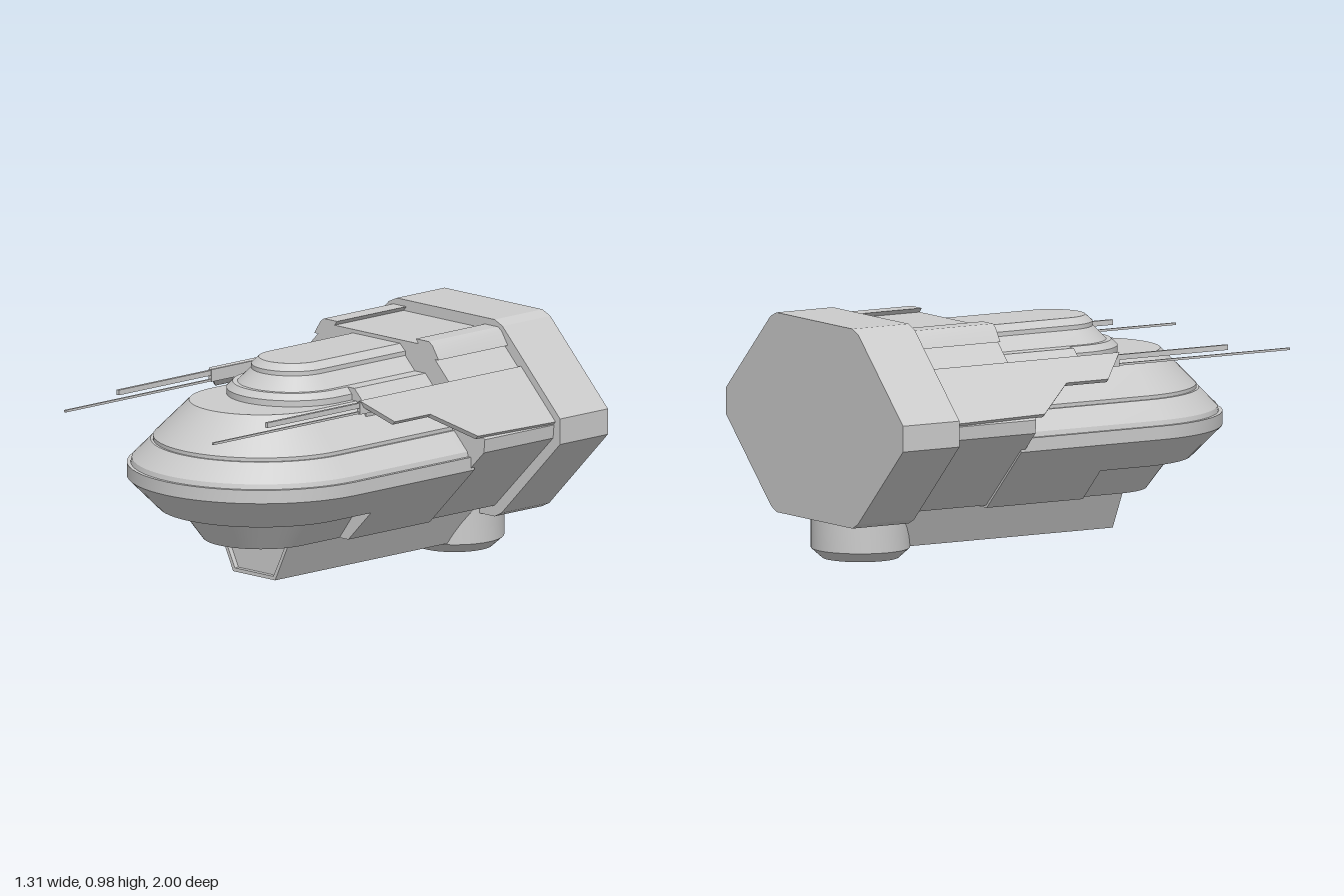
import * as THREE from 'three';
import { toCreasedNormals } from 'three/addons/utils/BufferGeometryUtils.js';

const material = new THREE.MeshStandardMaterial({ color: 0xcccccc });

function part(group, name, geometry, crease = 0.45) {
  const mesh = new THREE.Mesh(toCreasedNormals(geometry, crease), material);
  mesh.name = name;
  group.add(mesh);
  return mesh;
}

// Stack of U-shaped rings [radius, y]: round nose around zc, straight sides back to zBack.
function uLoft(levels, zc, zBack, segments = 32) {
  const positions = [], index = [], n = segments + 3;
  for (const [r, y] of levels) {
    positions.push(r, y, zBack);
    for (let i = 0; i <= segments; i++) {
      const t = (i / segments) * Math.PI;
      positions.push(r * Math.cos(t), y, zc + r * Math.sin(t));
    }
    positions.push(-r, y, zBack);
  }
  for (let k = 0; k < levels.length - 1; k++) {
    for (let i = 0; i < n; i++) {
      const j = (i + 1) % n, a = k * n + i, b = k * n + j;
      index.push(a, a + n, b, b, a + n, b + n);
    }
  }
  const top = (levels.length - 1) * n;
  for (let i = 1; i < n - 1; i++) {
    index.push(0, i, i + 1, top, top + i + 1, top + i);
  }
  const geometry = new THREE.BufferGeometry();
  geometry.setAttribute('position', new THREE.Float32BufferAttribute(positions, 3));
  geometry.setIndex(index);
  return geometry;
}

const toShape = (points) => new THREE.Shape(points.map(([x, y]) => new THREE.Vector2(x, y)));

// Right half of an outline, listed bottom to top, completed by its mirror image.
const symmetric = (half) => [...half, ...half.map(([x, y]) => [-x, y]).reverse()];

function prism(shape, z0, z1) {
  const geometry = new THREE.ExtrudeGeometry(shape, { depth: z1 - z0, bevelEnabled: false });
  return geometry.translate(0, 0, z0);
}

// Mirrors a geometry in x and restores the corner order.
function mirrored(source) {
  const geometry = source.index ? source.toNonIndexed() : source.clone();
  const p = geometry.attributes.position;
  const a = new THREE.Vector3(), b = new THREE.Vector3();
  geometry.scale(-1, 1, 1);
  for (let i = 0; i < p.count; i += 3) {
    a.fromBufferAttribute(p, i + 1);
    b.fromBufferAttribute(p, i + 2);
    p.setXYZ(i + 1, b.x, b.y, b.z);
    p.setXYZ(i + 2, a.x, a.y, a.z);
  }
  return geometry;
}

function box(x0, x1, y0, y1, z0, z1) {
  return new THREE.BoxGeometry(x1 - x0, y1 - y0, z1 - z0)
    .translate((x0 + x1) / 2, (y0 + y1) / 2, (z0 + z1) / 2);
}

export function createModel() {
  const model = new THREE.Group();
  model.name = 'spacecraft';

  // Main hull with its stepped rim
  part(model, 'hull', uLoft([
    [0.415, 0.33], [0.54, 0.455], [0.54, 0.51], [0.525, 0.51], [0.52, 0.53],
    [0.445, 0.605], [0.435, 0.605], [0.435, 0.62], [0.29, 0.765],
  ], 0.31, -0.36));

  // Recessed chin below the nose, and the full-width belly behind it
  part(model, 'chin', uLoft([[0.235, 0.2], [0.335, 0.335]], 0.31, -0.2));
  part(model, 'belly', prism(toShape(symmetric([[0.285, 0.2], [0.42, 0.335]])), -0.36, 0.1));

  // Raised deck on top of the hull
  part(model, 'upperDeck', uLoft([
    [0.265, 0.755], [0.265, 0.79], [0.24, 0.815], [0.22, 0.815], [0.165, 0.87],
    [0.165, 0.888], [0.135, 0.915],
  ], 0.135, -0.36));

  // Middle body with two raised rails along its roof
  part(model, 'middleBody', prism(toShape(symmetric([
    [0.28, 0.21], [0.615, 0.54], [0.62, 0.595], [0.335, 0.88], [0.356, 0.88],
    [0.32, 0.935], [0.30, 0.948], [0.225, 0.948], [0.24, 0.93],
  ])), -0.74, -0.34));

  // Wide rear block
  part(model, 'rearBlock', prism(toShape(symmetric([
    [0.28, 0.165], [0.32, 0.185], [0.655, 0.52], [0.655, 0.625],
    [0.325, 0.955], [0.28, 0.975],
  ])), -1, -0.73), 0.2);

  // Keel with a shallow recess in its front end
  const keelOutline = symmetric([[0.12, 0.045], [0.2, 0.21]]);
  part(model, 'keel', prism(toShape(keelOutline), -0.75, 0.33));
  const rim = toShape(keelOutline);
  rim.holes.push(toShape(symmetric([[0.11, 0.06], [0.18, 0.2]])));
  part(model, 'keelRim', prism(rim, 0.33, 0.35));

  // Round pod under the rear block
  const pod = new THREE.LatheGeometry(
    [[0, 0], [0.155, 0], [0.2, 0.04], [0.2, 0.2], [0, 0.2]]
      .map(([x, y]) => new THREE.Vector2(x, y)), 40);
  part(model, 'rearPod', pod.translate(0, 0, -0.78));

  // Sloping side armour, drawn as (z, distance down the slope)
  const armour = new THREE.ExtrudeGeometry(toShape([
    [-0.73, 0], [0.18, 0], [0.07, 0.127], [-0.13, 0.127], [-0.3, 0.27], [-0.73, 0.28],
  ].reverse()), { depth: 0.02, bevelEnabled: false });
  const h = Math.SQRT1_2;
  armour.applyMatrix4(new THREE.Matrix4().makeBasis(
    new THREE.Vector3(0, 0, 1), new THREE.Vector3(h, -h, 0), new THREE.Vector3(h, h, 0),
  ).setPosition(0.417, 0.793, 0));

  const shoulder = prism(toShape([
    [0.2, 0.7], [0.345, 0.7], [0.35, 0.745], [0.28, 0.815], [0.2, 0.815],
  ]), -0.36, 0.06);

  const sideParts = {
    Armour: armour,
    Shoulder: shoulder,
    ArmourLip: box(0.417, 0.434, 0.75, 0.8, -0.36, 0.18),
    UpperBarrel: box(0.418, 0.432, 0.776, 0.797, 0.15, 0.7),
    LowerBarrel: box(0.418, 0.428, 0.752, 0.761, 0.15, 1),
  };
  for (const [name, geometry] of Object.entries(sideParts)) {
    part(model, 'left' + name, geometry);
    part(model, 'right' + name, mirrored(geometry));
  }

  return model;
}
